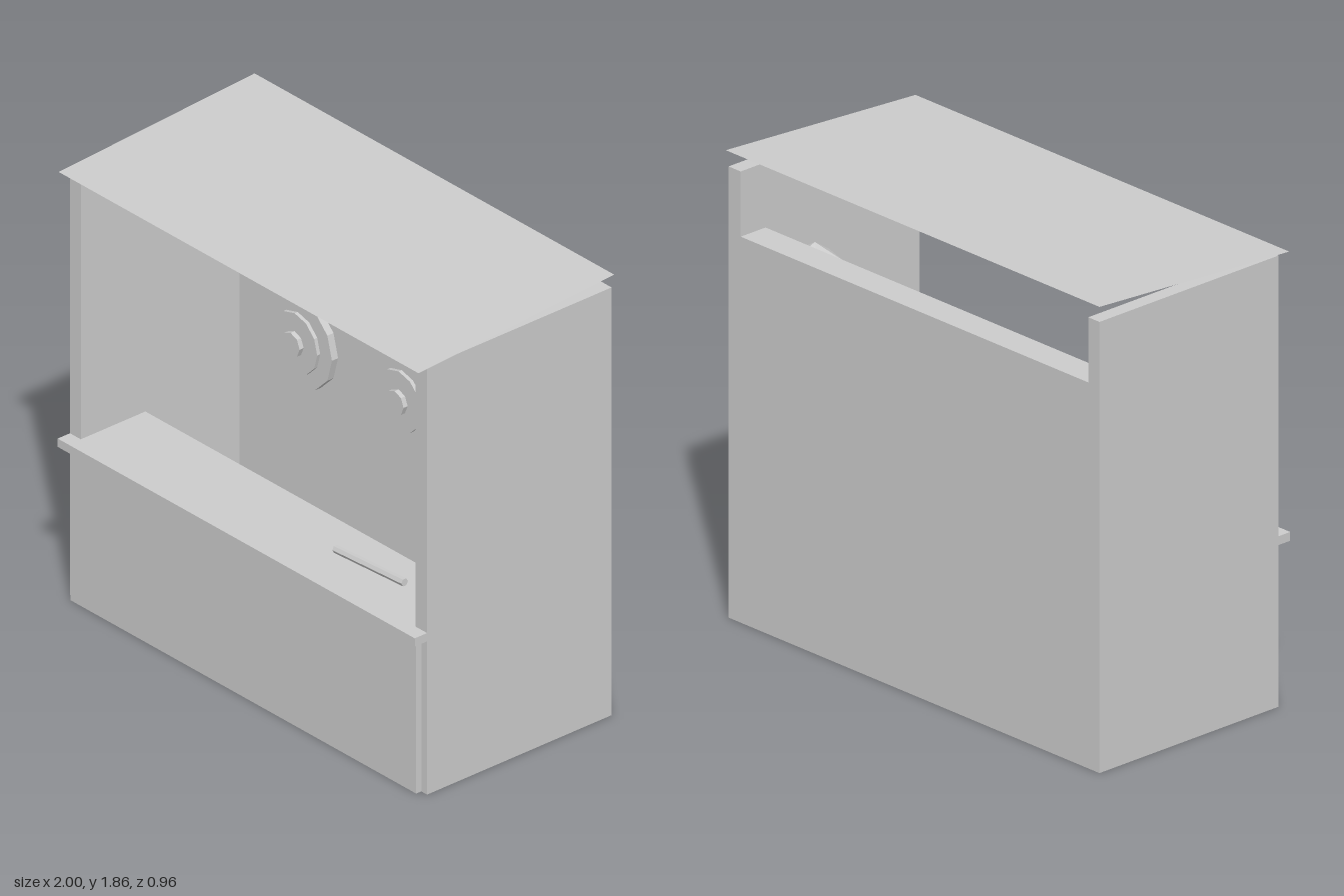
import * as THREE from 'three';

export function createModel() {
  const group = new THREE.Group();
  const grey = new THREE.MeshStandardMaterial({ color: 0xcccccc });
  grey.name = 'plainGrey';
  grey.flatShading = true;
  const canopyGrey = grey; // one colour throughout
  canopyGrey.side = THREE.DoubleSide;

  const add = (name, geometry, x = 0, y = 0, z = 0, parent = group) => {
    const mesh = new THREE.Mesh(geometry, grey);
    mesh.name = name;
    mesh.position.set(x, y, z);
    parent.add(mesh);
    return mesh;
  };
  // Box given by its limits on each axis
  const box = (name, [x0, x1], [y0, y1], [z0, z1]) =>
    add(name, new THREE.BoxGeometry(x1 - x0, y1 - y0, z1 - z0),
      (x0 + x1) / 2, (y0 + y1) / 2, (z0 + z1) / 2);

  // Booth walls, open at the bottom and above the back wall
  const inner = [-0.94, 0.92];
  box('rightWall', [-1, inner[0]], [0, 1.8], [-0.48, 0.42]);
  box('leftWall', [inner[1], 0.985], [0, 1.8], [-0.48, 0.42]);
  box('backWall', inner, [0, 1.54], [-0.48, -0.355]);

  // Counter: solid base, front panel, worktop and overhanging lip
  box('counterBase', inner, [0, 0.645], [0.105, 0.42]);
  box('frontPanel', [-0.968, 0.953], [0, 0.645], [0.42, 0.445]);
  box('worktop', inner, [0.645, 0.68], [0.105, 0.42]);
  box('counterLip', [-1, 0.985], [0.645, 0.68], [0.42, 0.48]);

  // Thin sloping roof sheet, higher at the back
  const rise = 0.06, depth = 0.955;
  const roof = new THREE.PlaneGeometry(2, Math.hypot(depth, rise)).rotateX(-Math.PI / 2);
  add('roof', roof, 0, 1.83, -0.0025).rotation.x = Math.atan2(rise, depth);

  // Three stepped targets on the back wall: radius, sides, front z
  const rings = [
    ['outerRing', 0.19, 12, -0.325],
    ['middleRing', 0.125, 12, -0.31],
    ['bullseye', 0.05, 8, -0.29],
  ];
  for (const x of [-0.583, -0.005, 0.572]) {
    const target = new THREE.Group();
    target.name = 'target';
    target.position.set(x, 0.965, 0);
    group.add(target);
    for (const [name, radius, sides, front] of rings) {
      const thickness = front + 0.36;
      const disc = new THREE.CylinderGeometry(radius, radius, thickness, sides).rotateX(Math.PI / 2);
      add(name, disc, 0, 0, front - thickness / 2, target);
    }
  }

  // Faceted lanterns in the upper corners, standing on a point
  for (const x of [-0.783, 0.757]) {
    add('lantern', new THREE.IcosahedronGeometry(0.122, 0), x, 1.383, -0.26).rotation.z = -0.5536;
  }

  // Slim rod lying on the worktop, one end raised
  const rod = new THREE.CylinderGeometry(0.016, 0.016, 0.385, 6).rotateZ(-Math.PI / 2);
  add('rod', rod, 0.503, 0.706, 0.275).rotation.z = 0.055;

  return group;
}
